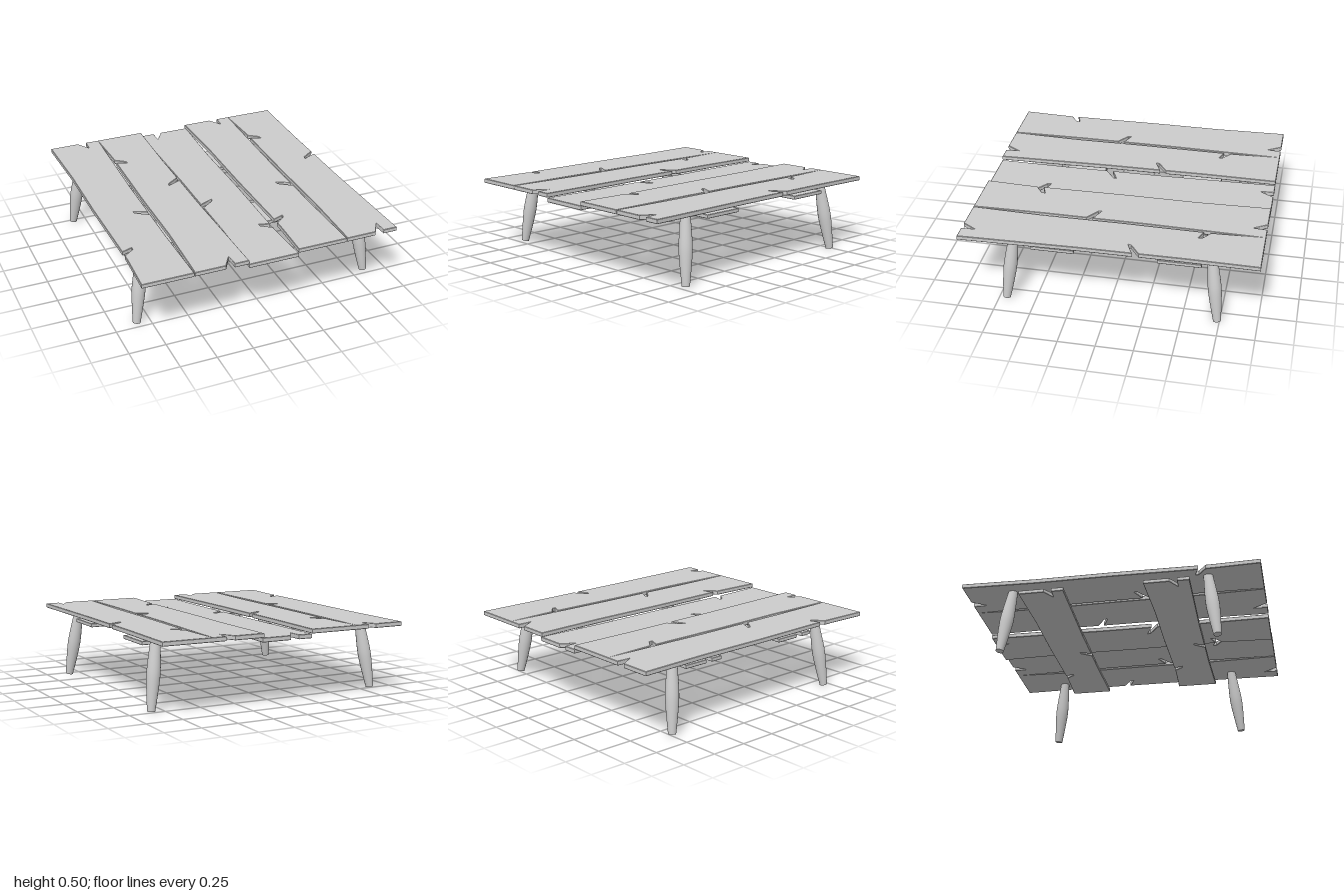
import * as THREE from 'three';

export function createModel() {
  const table = new THREE.Group();
  table.name = 'plankTable';
  const wood = new THREE.MeshStandardMaterial({ color: 0xcccccc });

  // One worn plank outline (x, z), with splits along both edges and one end
  const outline = [
    [-0.185, -1], [0.025, -1], [0.083, -0.905], [0.086, -1], [0.185, -1],
    [0.174, -0.5], [0.167, -0.2], [0.165, 0.17], [0.07, 0.127], [0.075, 0.148], [0.165, 0.212],
    [0.163, 0.5], [0.17, 1], [-0.18, 1], [-0.167, 0.72],
    [-0.165, 0.64], [-0.095, 0.588], [-0.092, 0.565], [-0.165, 0.592], [-0.173, 0], [-0.17, -0.5],
  ];
  const thickness = 0.03, bevel = 0.003;
  const shape = new THREE.Shape(outline.map(([x, z]) => new THREE.Vector2(x, -z)));
  const plankGeometry = new THREE.ExtrudeGeometry(shape, {
    depth: thickness - 2 * bevel, bevelEnabled: true, bevelSegments: 1,
    bevelSize: bevel, bevelThickness: bevel, bevelOffset: -bevel,
  });
  plankGeometry.translate(0, 0, bevel - thickness / 2).rotateX(-Math.PI / 2);

  function addPlank(name, x, y, z) {
    const plank = new THREE.Mesh(plankGeometry, wood);
    plank.name = name;
    plank.position.set(x, y, z);
    table.add(plank);
    return plank;
  }

  // Top planks: the same board turned over in different ways, the middle one sunk
  const boards = [
    [-0.72, 0.48, 0, 0],
    [-0.36, 0.48, Math.PI, 0],
    [-0.002, 0.45, 0, Math.PI],
    [0.357, 0.48, 0, 0],
    [0.717, 0.48, Math.PI, 0],
  ];
  boards.forEach(([x, y, rx, rz], i) => {
    addPlank(`topPlank${i + 1}`, x, y, 0).rotation.set(rx, 0, rz);
  });

  // Two smaller planks crossing underneath
  const diagonal = new THREE.Vector3(1, 0, 1).normalize();
  [['frontCrossPlank', 0.375], ['backCrossPlank', -0.47]].forEach(([name, z]) => {
    const plank = addPlank(name, 0, 0.4265, z);
    plank.quaternion.setFromAxisAngle(diagonal, Math.PI);
    plank.scale.set(0.83, 0.85, 0.85);
  });

  // Splayed, swollen legs
  const length = 0.474;
  const curve = new THREE.SplineCurve([
    [0.026, 0], [0.035, 0.09], [0.044, 0.2], [0.045, 0.27], [0.039, 0.37], [0.031, length],
  ].map(([r, y]) => new THREE.Vector2(r, y)));
  const side = new THREE.LatheGeometry(curve.getPoints(14), 20);
  const foot = new THREE.CircleGeometry(0.026, 20).rotateX(Math.PI / 2);
  const head = new THREE.CircleGeometry(0.031, 20).rotateX(-Math.PI / 2).translate(0, length, 0);
  const up = new THREE.Vector3(0, 1, 0);
  for (const sx of [-1, 1]) {
    for (const sz of [-1, 1]) {
      const leg = new THREE.Group();
      leg.name = (sz > 0 ? 'front' : 'back') + (sx > 0 ? 'Left' : 'Right') + 'Leg';
      const dx = sx * 0.005, dz = sz > 0 ? 0 : -0.034;
      const bottom = new THREE.Vector3(sx * 0.838 + dx, 0.004, sz * 0.7 + dz);
      const top = new THREE.Vector3(sx * 0.776 + dx, 0.47, sz * 0.645 + dz);
      for (const g of [side, foot, head]) leg.add(new THREE.Mesh(g, wood));
      leg.position.copy(bottom);
      leg.quaternion.setFromUnitVectors(up, top.sub(bottom).normalize());
      table.add(leg);
    }
  }
  return table;
}
